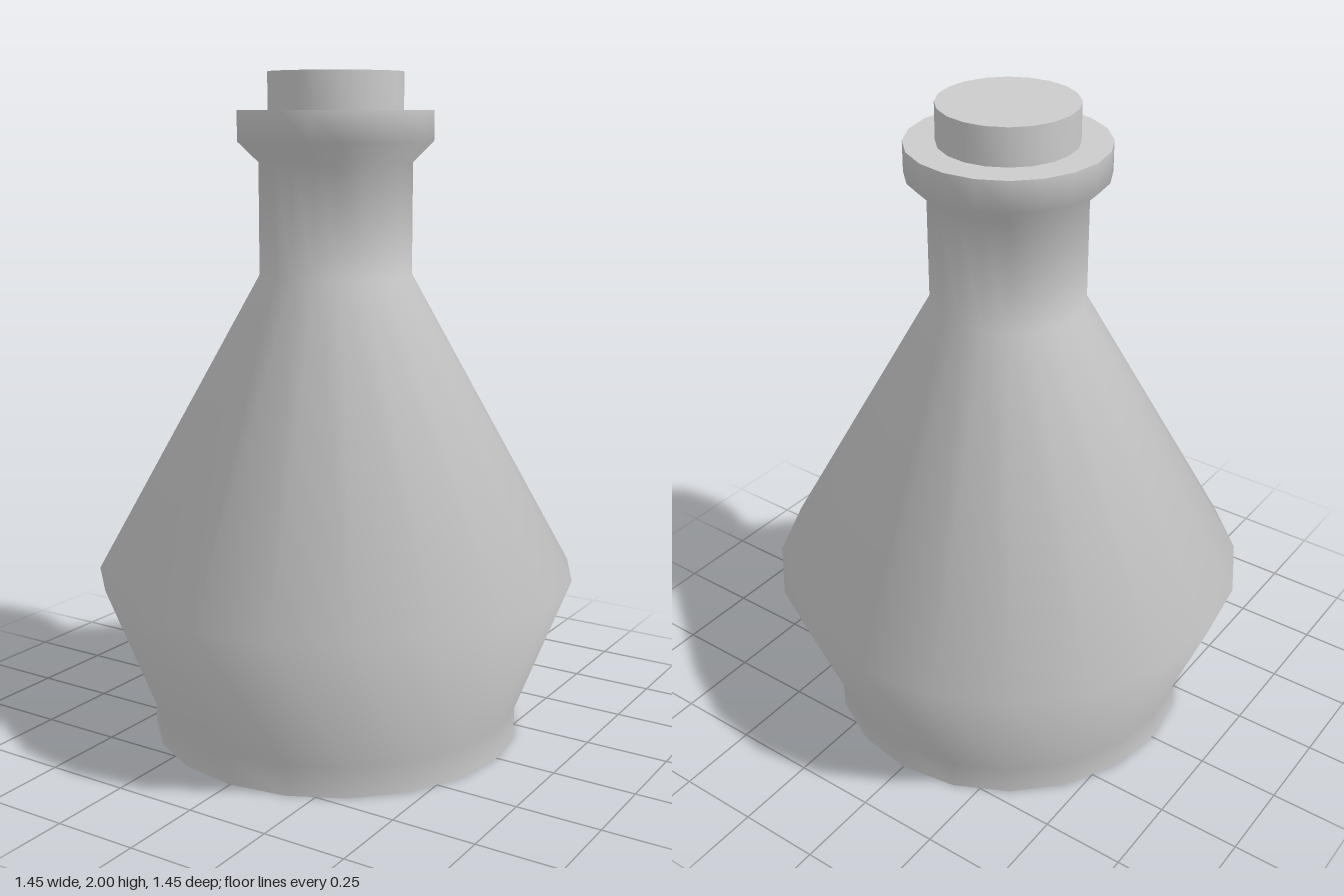
import * as THREE from 'three';
import { toCreasedNormals } from 'three/addons/utils/BufferGeometryUtils.js';

const SIDES = 20;
const CREASE = 1.0; // keeps right-angled rims sharp, softens the rest

// Spins a [radius, height] profile, listed from bottom to top, into a named mesh
function turned(name, profile, material) {
  const points = profile.map(([r, y]) => new THREE.Vector2(r, y));
  const geometry = toCreasedNormals(new THREE.LatheGeometry(points, SIDES), CREASE);
  const mesh = new THREE.Mesh(geometry, material);
  mesh.name = name;
  return mesh;
}

export function createModel() {
  const model = new THREE.Group();
  model.name = 'flask';
  const grey = new THREE.MeshStandardMaterial({ color: 0xcccccc });

  // Flask: foot, flared belly, sloping shoulder, neck and lip
  model.add(turned('flaskBody', [
    [0, 0], [0.565, 0], [0.565, 0.09],
    [0.727, 0.51],
    [0.228, 1.41], [0.228, 1.74],
    [0.29, 1.8], [0.29, 1.89], [0, 1.89],
  ], grey));

  // Stopper standing in the mouth
  model.add(turned('stopper', [[0.2, 1.89], [0.2, 2], [0, 2]], grey));

  return model;
}
